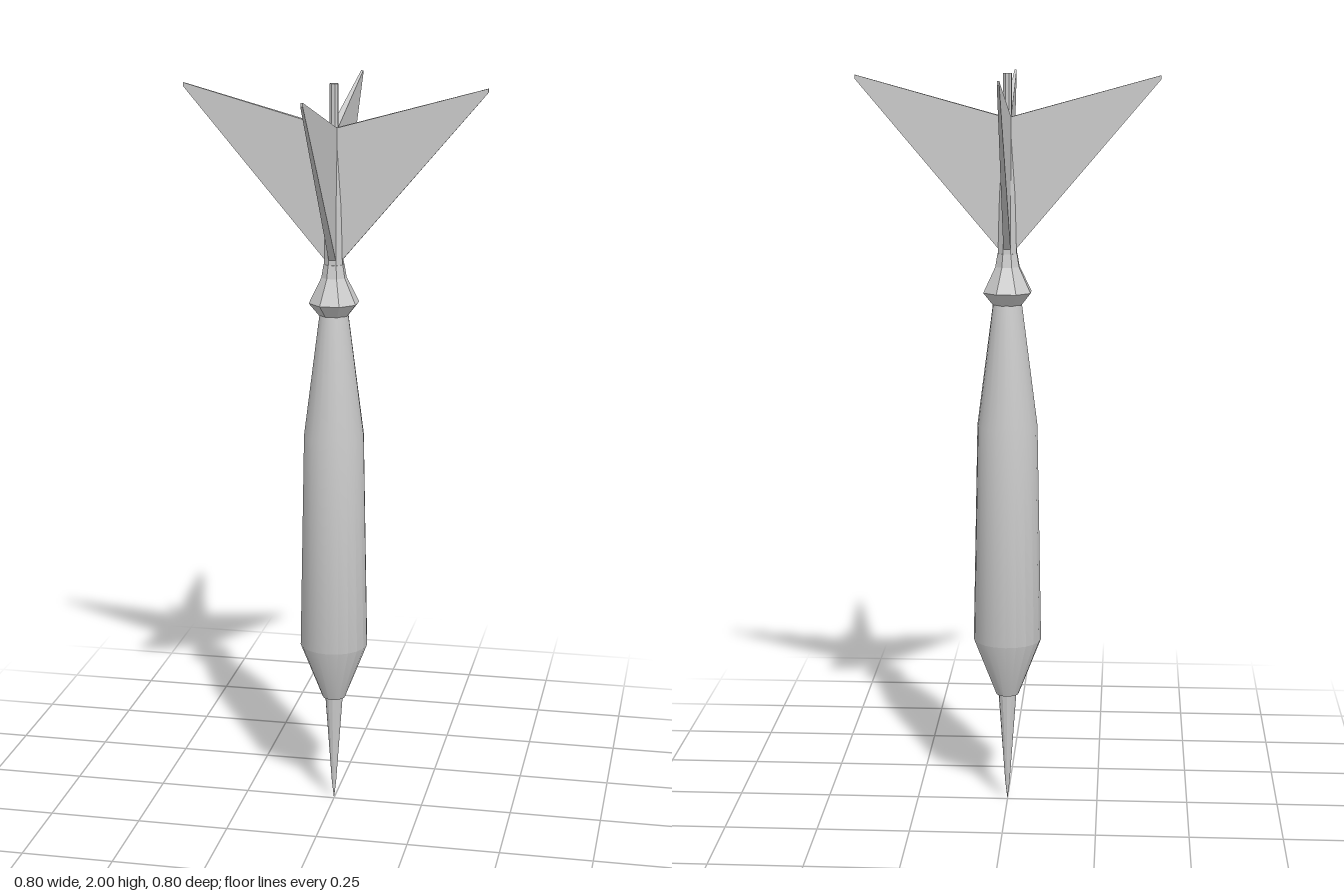
import * as THREE from 'three';
import { toCreasedNormals } from 'three/addons/utils/BufferGeometryUtils.js';

const smooth = new THREE.MeshStandardMaterial({ color: 0xcccccc });
const faceted = new THREE.MeshStandardMaterial({ color: 0xcccccc, flatShading: true });

// Turned part from [radius, height] pairs, bottom to top
function turned(name, profile, sides, material, turn = 0) {
  const points = profile.map(([r, y]) => new THREE.Vector2(r, y));
  let geometry = new THREE.LatheGeometry(points, sides, turn);
  if (!material.flatShading) geometry = toCreasedNormals(geometry, 0.45);
  const mesh = new THREE.Mesh(geometry, material);
  mesh.name = name;
  return mesh;
}

// Swept triangular fin that thins out towards its tip
function finGeometry() {
  const root = 0.01, tip = 0.003, span = 0.4;
  const outline = new THREE.Shape([
    new THREE.Vector2(0, 1.515),
    new THREE.Vector2(span, 1.985),
    new THREE.Vector2(span, 1.995),
    new THREE.Vector2(0, 1.885),
  ]);
  const geometry = new THREE.ExtrudeGeometry(outline, { depth: 2, bevelEnabled: false });
  geometry.translate(0, 0, -1);
  const p = geometry.attributes.position;
  for (let i = 0; i < p.count; i++) {
    p.setZ(i, p.getZ(i) * THREE.MathUtils.lerp(root, tip, p.getX(i) / span));
  }
  geometry.computeVertexNormals();
  return geometry;
}

export function createModel() {
  const model = new THREE.Group();
  model.name = 'dart';

  // Steel point, seated in the nose of the barrel
  model.add(turned('point', [[0, 0], [0.006, 0.05], [0.025, 0.315]], 12, smooth));

  // Barrel with tapered nose and tail
  model.add(turned('barrel', [
    [0, 0.31], [0.031, 0.31], [0.0925, 0.468], [0.081, 1.066], [0.038, 1.4], [0, 1.4],
  ], 20, smooth));

  // Faceted collar
  const eighth = Math.PI / 8;
  model.add(turned('collar', [
    [0, 1.394], [0.041, 1.394], [0.068, 1.427], [0.034, 1.495], [0.028, 1.53], [0, 1.53],
  ], 8, faceted, eighth));

  // Slim stem running up through the flight
  model.add(turned('stem', [
    [0, 1.5], [0.027, 1.5], [0.023, 1.685], [0.012, 1.9], [0.012, 2], [0, 2],
  ], 8, faceted, eighth));

  // Four fins around the stem
  const flight = new THREE.Group();
  flight.name = 'flight';
  const geometry = finGeometry();
  for (let i = 0; i < 4; i++) {
    const fin = new THREE.Mesh(geometry, faceted);
    fin.name = `fin${i + 1}`;
    fin.rotation.y = (i * Math.PI) / 2;
    flight.add(fin);
  }
  model.add(flight);

  return model;
}
